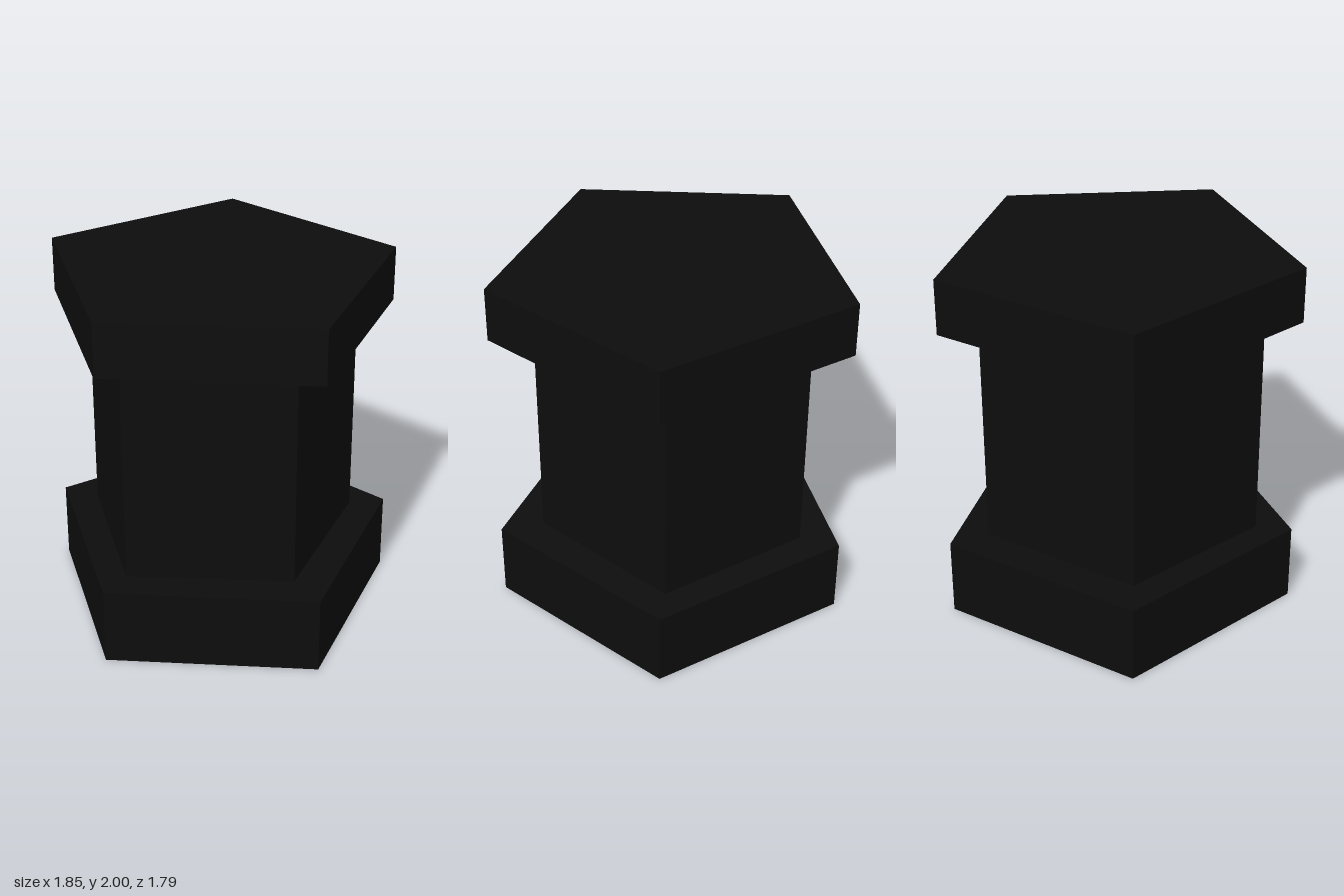
import * as THREE from 'three';

// Half outline of the five-sided plan as [x, z], from the front point to the back edge
const HALF_PLAN = [[0, 0.893], [0.923, 0.21], [0.581, -0.893]];

// Upright five-sided block between two heights
function pentagonBlock(name, y0, y1, material, scaleX = 1, scaleZ = 1, shiftX = 0, shiftZ = 0) {
  const mirrored = HALF_PLAN.slice(1).reverse().map(([x, z]) => [-x, z]);
  const points = [...HALF_PLAN, ...mirrored].map(([x, z]) => new THREE.Vector2(x * scaleX, -z * scaleZ));
  const geometry = new THREE.ExtrudeGeometry(new THREE.Shape(points), { depth: y1 - y0, bevelEnabled: false });
  geometry.rotateX(-Math.PI / 2);
  const mesh = new THREE.Mesh(geometry, material);
  mesh.name = name;
  mesh.position.set(shiftX, y0, shiftZ);
  return mesh;
}

export function createModel() {
  const black = new THREE.MeshStandardMaterial({ color: 0x0d0d0d });
  black.name = 'black';

  const model = new THREE.Group();
  model.name = 'pedestal';
  model.add(
    pentagonBlock('base', 0, 0.432, black),
    // Narrower shaft, set slightly towards the back
    pentagonBlock('shaft', 0.432, 1.695, black, 0.8, 0.761, -0.003, -0.025),
    pentagonBlock('cap', 1.695, 2, black),
  );
  return model;
}
